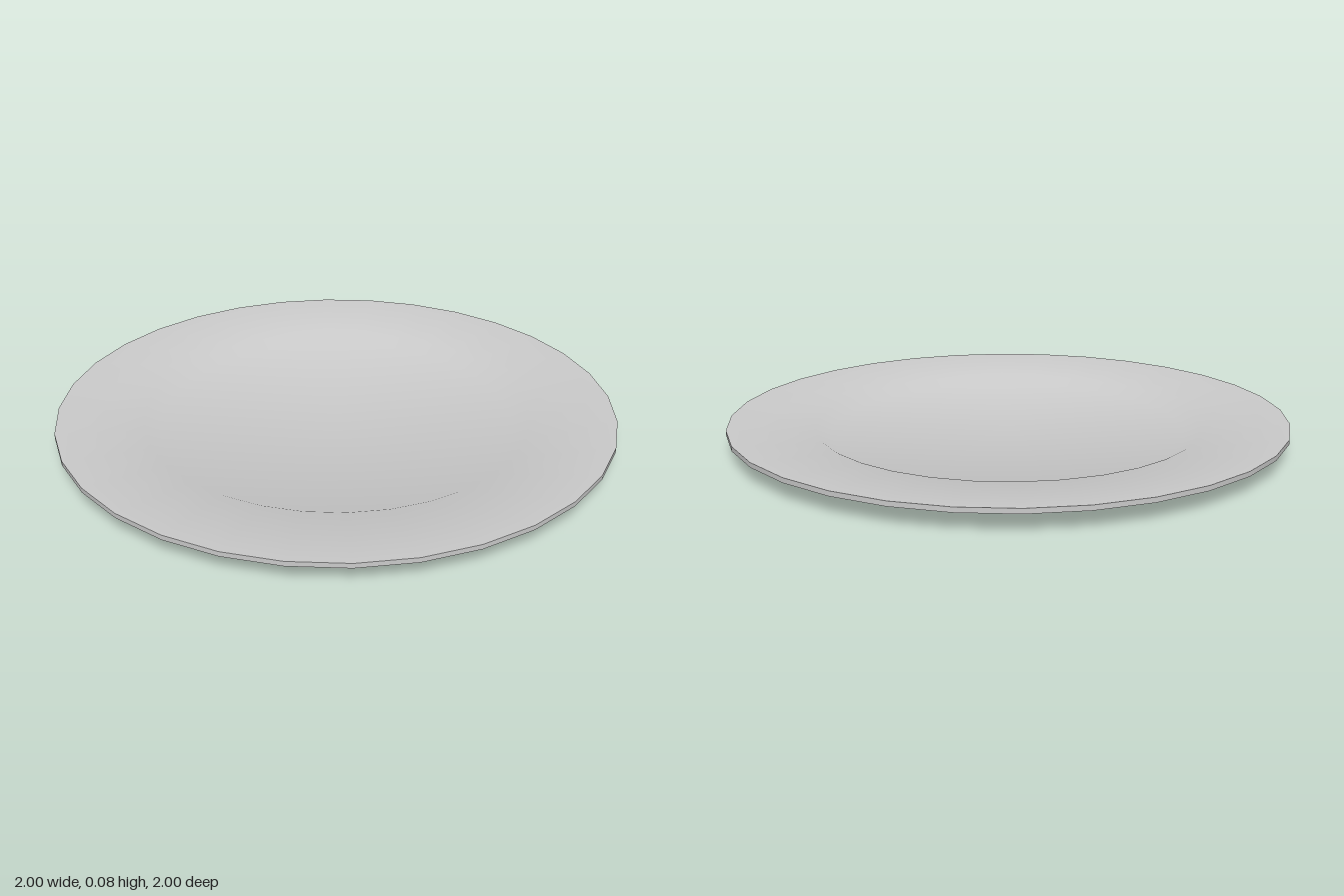
import * as THREE from 'three';

const SEGMENTS = 32;

// Each section is a surface of revolution; section ends form crisp edges.
// Points are [radius, height, lean]: lean is the outward slant of the smooth normal
// against its upward (facing 1) or downward (facing -1) part.
const SECTIONS = [
  { name: 'footRecess', facing: -1, profile: [[0, 0.012, 0], [0.6, 0.012, -0.42], [0.608, 0, -0.42]] },
  { name: 'footRing', facing: -1, profile: [[0.608, 0, 0], [0.625, 0, 0.1]] },
  {
    name: 'footWallAndUnderside',
    facing: -1,
    profile: [[0.625, 0, 0.15], [0.643, 0.003, 0.5], [0.66, 0.032, 0.5], [0.7, 0.036, 0.08], [1, 0.061, 0.08]],
  },
  {
    name: 'upperSurface',
    facing: 1,
    profile: [[1, 0.078, -0.04], [0.695, 0.051, -0.22], [0.64, 0.025, -0.22], [0, 0.025, 0]],
  },
];

// Lathe with normals blended softly from ring to ring
function revolve(profile, facing) {
  const points = profile.map(([r, y]) => new THREE.Vector2(r, y));
  const geometry = new THREE.LatheGeometry(points, SEGMENTS);
  const normals = geometry.attributes.normal;
  const normal = new THREE.Vector3();
  for (let i = 0; i < normals.count; i++) {
    const angle = (Math.floor(i / profile.length) / SEGMENTS) * Math.PI * 2;
    const lean = profile[i % profile.length][2];
    normal.set(Math.sin(angle) * lean, facing, Math.cos(angle) * lean).normalize();
    normals.setXYZ(i, normal.x, normal.y, normal.z);
  }
  return geometry;
}

export function createModel() {
  const plate = new THREE.Group();
  plate.name = 'plate';
  const material = new THREE.MeshStandardMaterial({ color: 0xcccccc });

  for (const { name, facing, profile } of SECTIONS) {
    const mesh = new THREE.Mesh(revolve(profile, facing), material);
    mesh.name = name;
    plate.add(mesh);
  }

  // Thin upright edge closing the rim
  const rimEdge = new THREE.Mesh(new THREE.CylinderGeometry(1, 1, 0.017, SEGMENTS, 1, true), material);
  rimEdge.name = 'rimEdge';
  rimEdge.position.y = 0.0695;
  plate.add(rimEdge);
  return plate;
}
